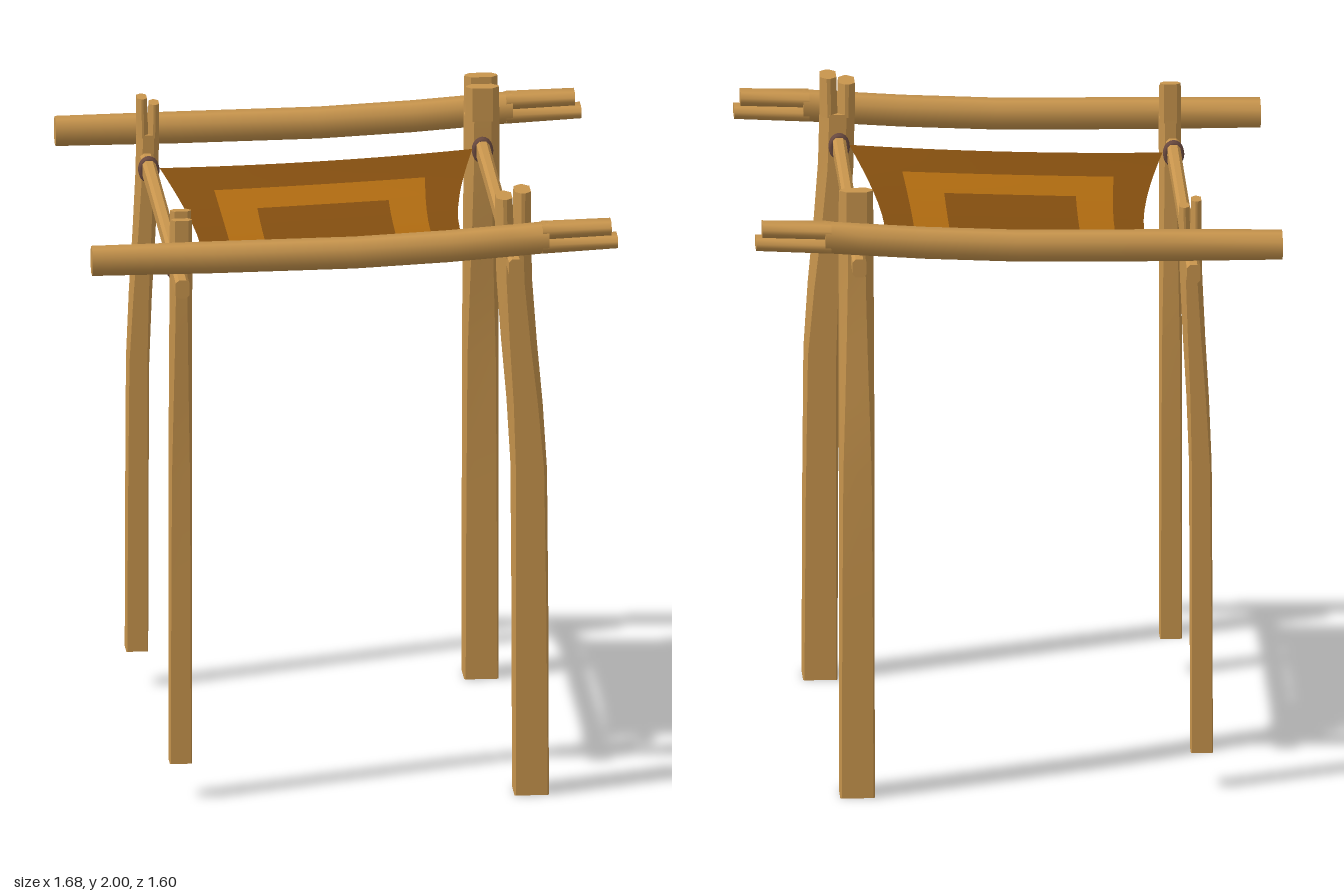
import * as THREE from 'three';
import { toCreasedNormals } from 'three/addons/utils/BufferGeometryUtils.js';

const material = (name, color) => {
  const m = new THREE.MeshStandardMaterial({ color });
  m.name = name;
  return m;
};

// Solid lofted along an axis (0 x, 1 y, 2 z) through chamfered rectangles.
// Each section: { p: centre, hu, hv: half sizes on the next two axes, c: chamfer }
function loft(axis, sections, crease = 0.6) {
  const u = (axis + 1) % 3, v = (axis + 2) % 3;
  const positions = [], index = [];
  for (const { p, hu, hv, c } of sections) {
    const ring = [
      [hu, c - hv], [hu, hv - c], [hu - c, hv], [c - hu, hv],
      [-hu, hv - c], [-hu, c - hv], [c - hu, -hv], [hu - c, -hv],
    ];
    for (const [a, b] of ring) {
      const q = [...p];
      q[u] += a;
      q[v] += b;
      positions.push(...q);
    }
  }
  const last = (sections.length - 1) * 8;
  for (let i = 0; i < last; i += 8) {
    for (let k = 0; k < 8; k++) {
      const a = i + k, b = i + (k + 1) % 8;
      index.push(a, b, b + 8, a, b + 8, a + 8);
    }
  }
  for (let k = 1; k < 7; k++) {
    index.push(0, k + 1, k, last, last + k, last + k + 1);
  }
  const g = new THREE.BufferGeometry();
  g.setAttribute('position', new THREE.Float32BufferAttribute(positions, 3));
  g.setIndex(index);
  return toCreasedNormals(g, crease);
}

function add(parent, name, geometry, mat) {
  const mesh = new THREE.Mesh(geometry, mat);
  mesh.name = name;
  parent.add(mesh);
  return mesh;
}

// Bent post, square at the foot, rounder and split at the top; bends toward local +x
function makePost(name, wood, { x, z, turn, half, foot, top, bend }) {
  const post = new THREE.Group();
  post.name = name;
  const section = (y, off, c) => ({ p: [bend * off, y, 0], hu: half, hv: half, c: half * c });
  const split = top - 0.12;
  add(post, 'postShaft', loft(1, [
    section(foot, 1, 0.08), section(0.6, 0.97, 0.12), section(1.08, 0.9, 0.18),
    section(1.3, 0.66, 0.3), section(1.5, 0.34, 0.4), section(1.7, 0.08, 0.48),
    section(split, 0, 0.5),
  ]), wood);
  for (const side of [-1, 1]) {
    const end = side < 0 ? top - 0.02 : top;
    const h = half * 0.5;
    add(post, 'postSplitTip', loft(1, [
      { p: [side * h, split - 0.01, 0], hu: half, hv: h, c: half * 0.4 },
      { p: [side * (h + 0.002), end, 0], hu: half * 0.95, hv: h - 0.002, c: half * 0.35 },
    ]), wood);
  }
  post.position.set(x, 0, z);
  post.rotation.y = turn;
  return post;
}

// Cross beam rising to +x, where its end is forked
function makeBeam(name, wood, z) {
  const beam = new THREE.Group();
  beam.name = name;
  const section = (x, y, hu = 0.047) => ({ p: [x, y, z], hu, hv: 0.045, c: 0.024 });
  add(beam, 'beamBody', loft(0, [
    section(-0.84, 1.823, 0.044), section(-0.45, 1.826), section(0, 1.831),
    section(0.3, 1.845), section(0.5, 1.859), section(0.62, 1.868),
  ], 0.9), wood);
  const prong = (x, y, hu, hv) => ({ p: [x, y, z], hu, hv, c: hu * 0.7 });
  add(beam, 'upperProng', loft(0, [
    prong(0.6, 1.891, 0.023, 0.044), prong(0.82, 1.898, 0.022, 0.04),
  ], 0.9), wood);
  add(beam, 'lowerProng', loft(0, [
    prong(0.6, 1.845, 0.024, 0.044), prong(0.84, 1.853, 0.019, 0.042),
  ], 0.9), wood);
  return beam;
}

// Hanging cloth: pinched edges, sag along z, nested colour bands
function makeCloth(border, band) {
  const spread = (stops, n) => {
    const out = [stops[0]];
    for (let i = 1; i < stops.length; i++) {
      for (let k = 1; k <= n; k++) {
        out.push(THREE.MathUtils.lerp(stops[i - 1], stops[i], k / n));
      }
    }
    return out;
  };
  const us = spread([-1, -0.7, -0.43, 0.43, 0.7, 1], 5);
  const vs = spread([-1, -0.75, -0.505, 0.505, 0.75, 1], 6);
  const positions = [], borderFaces = [], bandFaces = [];
  for (const v of vs) {
    for (const u of us) {
      const x = -0.02 + 0.5 * u * (1 - 0.17 * u * u * (1 - v * v));
      const z = 0.555 * v * (1 - 0.06 * v * v * (1 - u * u));
      positions.push(x, 1.766 + 0.04 * x - 0.093 * (1 - v * v), z);
    }
  }
  const w = us.length;
  for (let j = 0; j < vs.length - 1; j++) {
    for (let i = 0; i < w - 1; i++) {
      const u = Math.abs(us[i] + us[i + 1]) / 2;
      const v = Math.abs(vs[j] + vs[j + 1]) / 2;
      const inBand = u < 0.7 && v < 0.75 && !(u < 0.43 && v < 0.505);
      const a = j * w + i;
      (inBand ? bandFaces : borderFaces).push(a, a + w, a + 1, a + 1, a + w, a + w + 1);
    }
  }
  const g = new THREE.BufferGeometry();
  g.setAttribute('position', new THREE.Float32BufferAttribute(positions, 3));
  g.setIndex([...borderFaces, ...bandFaces]);
  g.addGroup(0, borderFaces.length, 0);
  g.addGroup(borderFaces.length, bandFaces.length, 1);
  g.computeVertexNormals();
  const cloth = new THREE.Mesh(g, [border, band]);
  cloth.name = 'clothCanopy';
  return cloth;
}

export function createModel() {
  const model = new THREE.Group();
  model.name = 'canopy';
  const wood = material('wood', 0xc8954d);
  const rope = material('rope', 0x6a4a40);
  const border = material('brownCloth', 0x834e0f);
  const band = material('ochreCloth', 0xae6a10);
  border.side = band.side = THREE.DoubleSide;

  // Thick posts on the left side, thin shorter ones on the right
  const thick = { half: 0.055, foot: 0, top: 2, bend: 0.056 };
  const thin = { half: 0.035, foot: 0.12, top: 1.955, bend: 0.036 };
  model.add(
    makePost('frontLeftPost', wood, { ...thick, x: 0.515, z: 0.625, turn: 0 }),
    makePost('backLeftPost', wood, { ...thick, x: 0.515, z: -0.628, turn: Math.PI / 2 }),
    makePost('frontRightPost', wood, { ...thin, x: -0.548, z: 0.645, turn: Math.PI / 2 }),
    makePost('backRightPost', wood, { ...thin, x: -0.55, z: -0.655, turn: Math.PI }),
    makeBeam('frontBeam', wood, 0.725),
    makeBeam('backBeam', wood, -0.735),
  );

  // Side rails with rope lashings at the cloth corners
  const rails = [
    { name: 'rightRail', x: -0.555, y: 1.743, back: -0.785, front: 0.8 },
    { name: 'leftRail', x: 0.512, y: 1.782, back: -0.8, front: 0.78 },
  ];
  for (const { name, x, y, back, front } of rails) {
    const section = (z, lift, hu) => ({ p: [x, y + lift, z], hu, hv: 0.03, c: 0.01 });
    add(model, name, loft(2, [
      section(back, 0, 0.022), section(-0.3, 0.005, 0.02),
      section(0.3, 0.005, 0.02), section(front, 0, 0.022),
    ]), wood);
    for (const z of [-0.55, 0.55]) {
      for (const shift of [-0.008, 0.008]) {
        const ring = add(model, 'ropeLashing', new THREE.TorusGeometry(0.025, 0.009, 8, 20), rope);
        ring.position.set(x, y, z + shift);
        ring.scale.y = 1.25;
      }
    }
  }

  model.add(makeCloth(border, band));
  return model;
}
